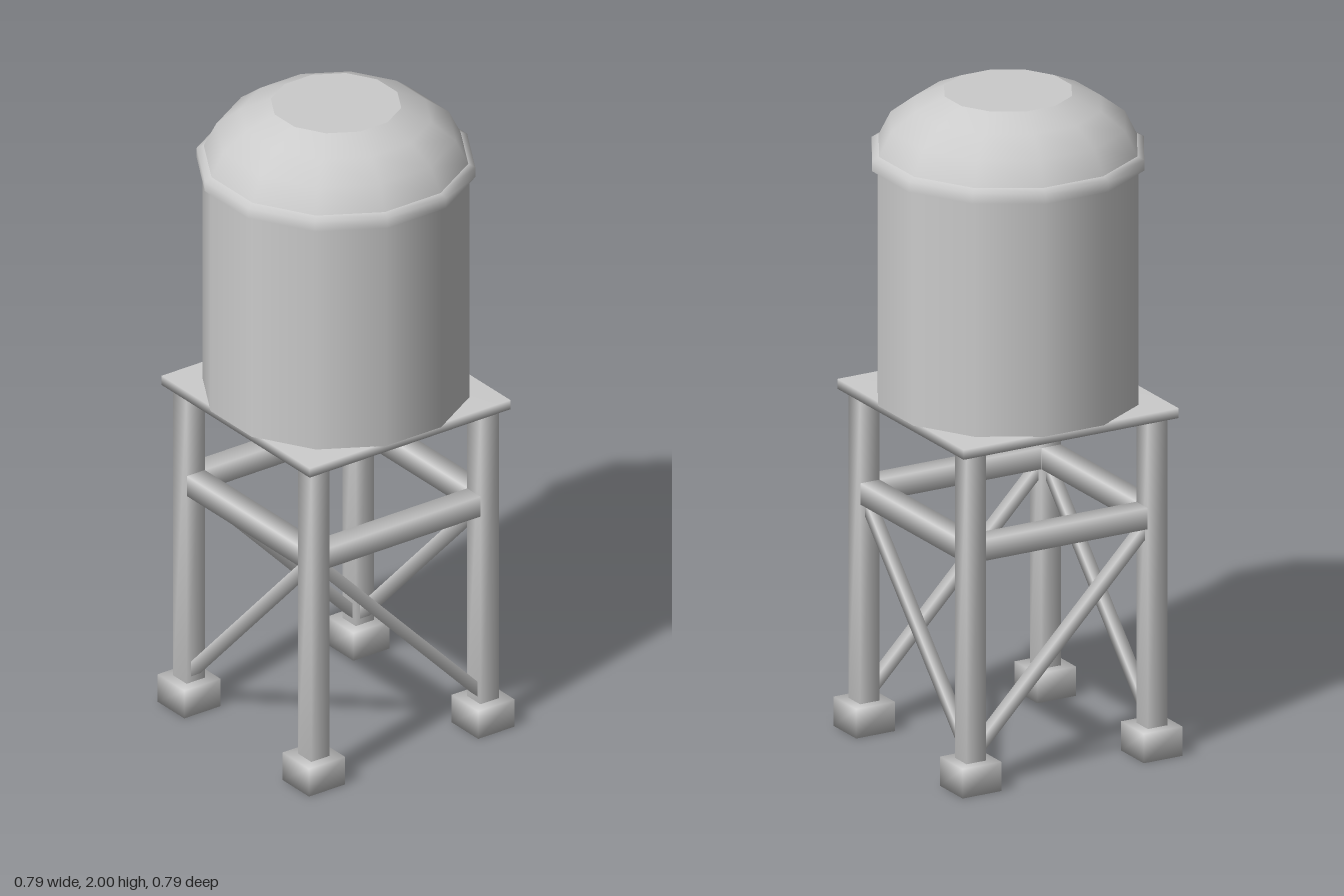
import * as THREE from 'three';
import { mergeVertices } from 'three/addons/utils/BufferGeometryUtils.js';

const grey = new THREE.MeshStandardMaterial({ color: 0xcccccc });
const SIDES = 12;
const LEG = 0.305; // distance of the leg axes from the centre lines

// Box with shared corners, so its shading is soft
function softBox(w, h, d) {
  const box = new THREE.BoxGeometry(w, h, d);
  box.deleteAttribute('normal');
  box.deleteAttribute('uv');
  const geo = mergeVertices(box);
  geo.computeVertexNormals();
  return geo;
}

function add(parent, name, geo, x = 0, y = 0, z = 0) {
  const mesh = new THREE.Mesh(geo, grey);
  mesh.name = name;
  mesh.position.set(x, y, z);
  parent.add(mesh);
  return mesh;
}

// Square bar running from a to b
function bar(parent, name, a, b, size) {
  const dir = b.clone().sub(a);
  const mid = a.clone().add(b).multiplyScalar(0.5);
  const mesh = add(parent, name, softBox(size, size, dir.length()), mid.x, mid.y, mid.z);
  mesh.lookAt(b);
  return mesh;
}

// Twelve-sided turned part; radii are measured to the flat sides
function turned(parent, name, profile) {
  const points = profile.map(([r, y]) => new THREE.Vector2(r / Math.cos(Math.PI / SIDES), y));
  const mesh = add(parent, name, new THREE.LatheGeometry(points, SIDES));
  mesh.rotation.y = Math.PI / SIDES;
  return mesh;
}

export function createModel() {
  const model = new THREE.Group();
  model.name = 'waterTower';

  // Legs and their footings
  for (const x of [-LEG, LEG]) {
    for (const z of [-LEG, LEG]) {
      add(model, 'footing', softBox(0.13, 0.09, 0.13), x, 0.045, z);
      add(model, 'leg', softBox(0.066, 0.97, 0.066), x, 0.56, z);
    }
  }

  // Cross beams and diagonal braces on the four sides
  const V = (x, y, z) => new THREE.Vector3(x, y, z);
  for (const s of [-LEG, LEG]) {
    bar(model, 'crossBeam', V(-LEG, 0.737, s), V(LEG, 0.737, s), 0.065);
    bar(model, 'crossBeam', V(s, 0.737, LEG), V(s, 0.737, -LEG), 0.065);
    bar(model, 'brace', V(-LEG, 0.725, s), V(LEG, 0.1, s), 0.034);
    bar(model, 'brace', V(s, 0.725, LEG), V(s, 0.1, -LEG), 0.034);
  }

  // Platform
  add(model, 'platform', softBox(0.724, 0.03, 0.724), 0, 1.053, 0);

  // Tank
  turned(model, 'tankBottom', [[0, 1.067], [0.378, 1.067]]);
  turned(model, 'tankWall', [[0.378, 1.067], [0.378, 1.81]]);

  // Roof with its overhanging rim and flat top
  turned(model, 'roofUnderside', [[0.37, 1.79], [0.395, 1.79]]);
  turned(model, 'roofRim', [[0.395, 1.79], [0.395, 1.822], [0.375, 1.832]]);
  turned(model, 'roofDome', [[0.375, 1.832], [0.34, 1.905], [0.27, 1.96], [0.185, 2]]);
  turned(model, 'roofTop', [[0.185, 2], [0, 2]]);

  return model;
}
